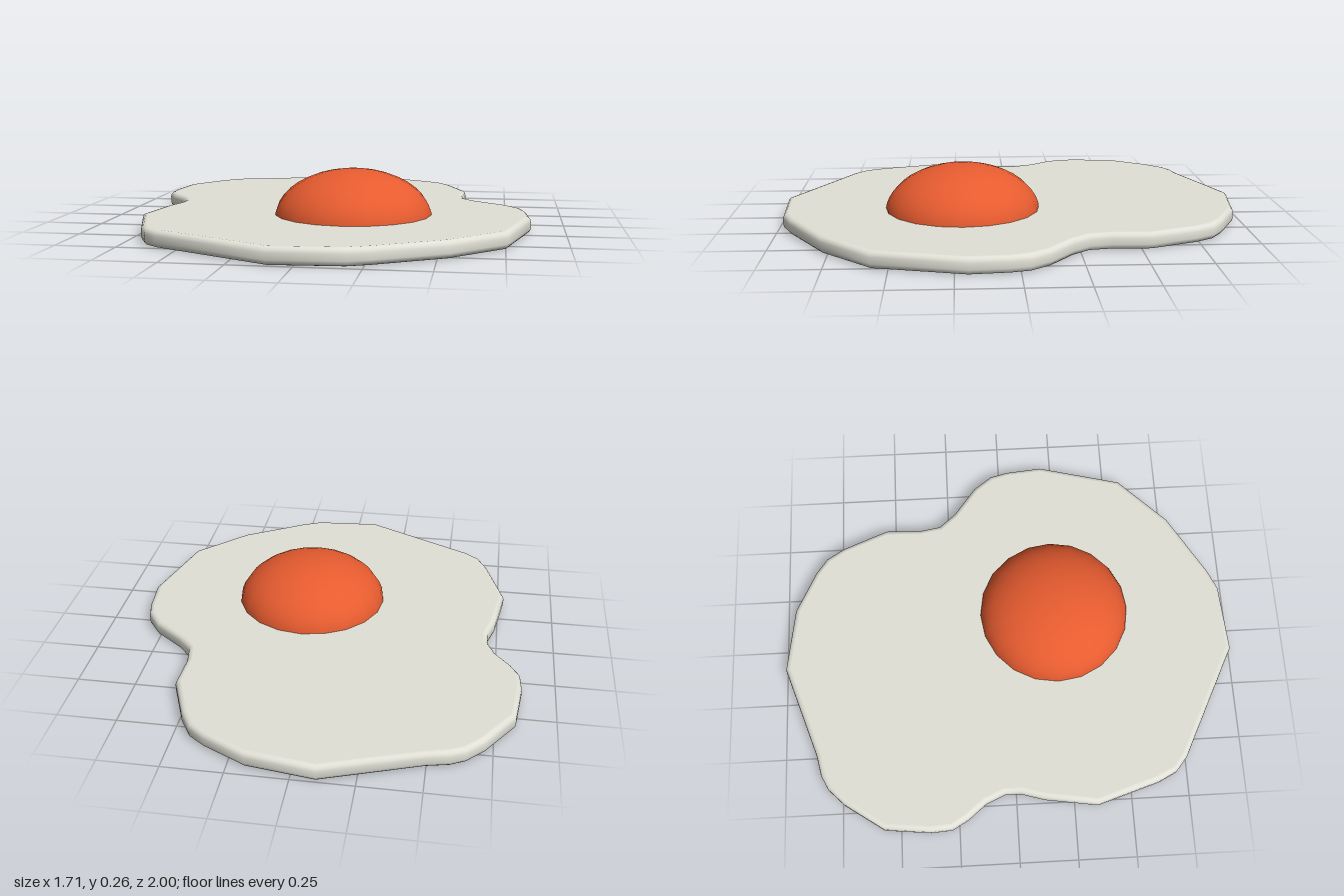
import * as THREE from 'three';
import { toCreasedNormals } from 'three/addons/utils/BufferGeometryUtils.js';

const whiteMaterial = new THREE.MeshStandardMaterial({ color: 0xe0e0d6 });
whiteMaterial.name = 'eggWhite';
const yolkMaterial = new THREE.MeshStandardMaterial({ color: 0xe85c30 });
yolkMaterial.name = 'yolkOrange';

// Outline of the egg white as x, z pairs, starting at the back
const outline = [
  [-0.1, -1], [0.18, -0.96], [0.36, -0.87], [0.43, -0.82], [0.48, -0.74], [0.56, -0.54],
  [0.555, -0.38], [0.57, -0.29], [0.63, -0.22], [0.76, -0.12], [0.82, -0.04], [0.84, 0.04],
  [0.855, 0.2], [0.76, 0.57], [0.55, 0.78], [0.28, 0.94], [0.19, 0.98], [-0.1, 1],
  [-0.59, 0.75], [-0.65, 0.7], [-0.69, 0.62], [-0.775, 0.35], [-0.74, 0.12], [-0.71, 0.02],
  [-0.71, -0.05], [-0.745, -0.13], [-0.81, -0.21], [-0.85, -0.28], [-0.857, -0.37],
  [-0.835, -0.57], [-0.72, -0.74], [-0.65, -0.81], [-0.59, -0.84], [-0.5, -0.86],
];

// Flat slab with a softly rounded rim
function createWhite() {
  const height = 0.07, bevel = 0.022;
  const shape = new THREE.Shape(outline.map(([x, z]) => new THREE.Vector2(x, -z)));
  const extruded = new THREE.ExtrudeGeometry(shape, {
    depth: height - 2 * bevel,
    bevelThickness: bevel,
    bevelSize: bevel,
    bevelOffset: -bevel,
    bevelSegments: 3,
  });
  const geometry = toCreasedNormals(extruded, 0.8);

  // Keep the two caps perfectly flat; only the rim is smoothed
  const { position, normal } = geometry.attributes;
  const caps = extruded.groups[0];
  for (let i = caps.start; i < caps.start + caps.count; i++) {
    normal.setXYZ(i, 0, 0, position.getZ(i) > height / 2 - bevel ? 1 : -1);
  }
  geometry.clearGroups();
  geometry.translate(0, 0, bevel);
  geometry.rotateX(-Math.PI / 2);

  const mesh = new THREE.Mesh(geometry, whiteMaterial);
  mesh.name = 'eggWhite';
  return mesh;
}

// Flattened dome, its open base sunk into the white
function createYolk() {
  const geometry = new THREE.SphereGeometry(0.335, 20, 10, 0, Math.PI * 2, 0, Math.PI / 2);
  geometry.scale(1, 0.21 / 0.335, 1);
  const mesh = new THREE.Mesh(geometry, yolkMaterial);
  mesh.name = 'yolk';
  mesh.position.set(0.11, 0.05, 0.215);
  return mesh;
}

export function createModel() {
  const group = new THREE.Group();
  group.name = 'friedEgg';
  group.add(createWhite(), createYolk());
  return group;
}
